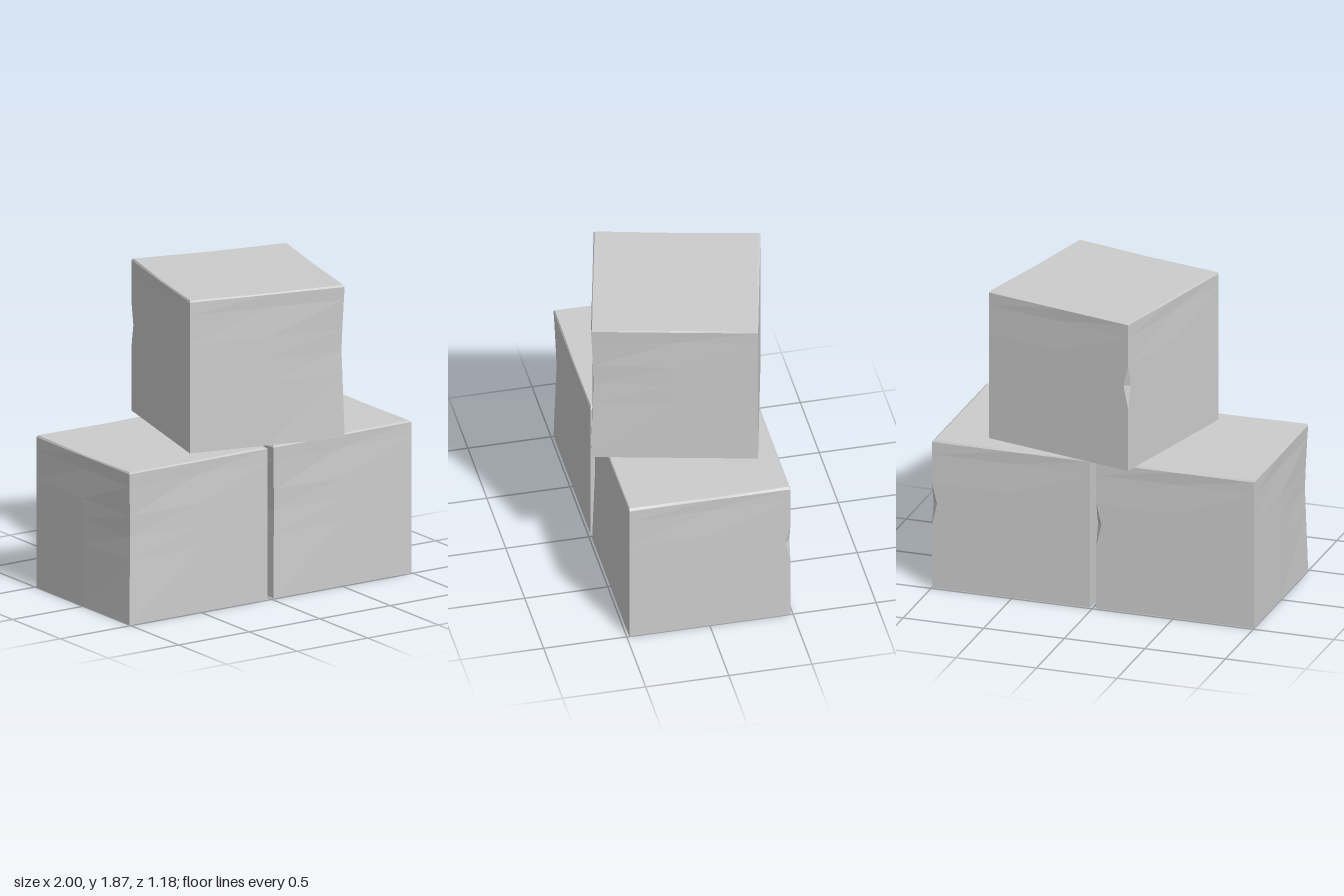
import * as THREE from 'three';

const W = 0.49, D = 0.485, H = 0.93; // half width, half depth, height of a block

// Horizontal outline of a block at one level, counter-clockwise from above.
// chip: size of the notch on the back right edge; worn: inward wear of the
// front left edge; dent: recess at the middle of each side.
function outline({ y, chip = 0, worn = 0, dent = 0, inset = 0, insetX = 0, dip = 0 }) {
  const r = W - Math.max(inset, insetX), l = -W + inset, f = D - inset, b = -D + inset;
  return [
    [l + worn, y, f - worn],
    [0, y - dip, f - dent],
    [r, y, f],
    [r - dent, y - dip, 0],
    [r, y, b + chip],
    [r - chip, y, b],
    [0, y - dip, b + dent],
    [l, y, b],
    [l + dent, y - dip, 0],
  ];
}

// Skins the stacked outlines and closes both ends with fans.
function blockGeometry() {
  const rings = [
    { y: 0 },
    { y: 0.39, worn: 0.011 },
    { y: 0.53, worn: 0.015, chip: 0.032 },
    { y: 0.66, worn: 0.011 },
    { y: 0.84, worn: 0.004, dent: 0.005 },
    { y: H - 0.012 },
    { y: H, inset: 0.006, insetX: 0.015, dip: 0.005 },
  ].map(outline);
  const n = rings[0].length, pos = [];
  const tri = (a, b, c) => pos.push(...a, ...b, ...c);
  for (let k = 0; k < rings.length - 1; k++) {
    for (let i = 0; i < n; i++) {
      const j = (i + 1) % n, lo = rings[k], hi = rings[k + 1];
      tri(lo[i], lo[j], hi[j]);
      tri(lo[i], hi[j], hi[i]);
    }
  }
  const top = rings[rings.length - 1];
  for (let i = 0; i < n; i++) {
    const j = (i + 1) % n;
    tri([0, H - 0.006, 0], top[i], top[j]);
    tri([0, 0, 0], rings[0][j], rings[0][i]);
  }
  const g = new THREE.BufferGeometry();
  g.setAttribute('position', new THREE.Float32BufferAttribute(pos, 3));
  g.computeVertexNormals(); // unshared corners give flat facets
  return g;
}

export function createModel() {
  const group = new THREE.Group();
  group.name = 'stackedStoneBlocks';
  const stone = new THREE.MeshStandardMaterial({ color: 0xcccccc });
  stone.name = 'paleStone';
  const geometry = blockGeometry();

  // Two blocks side by side, and a turned one on top
  const blocks = [
    ['lowerRightBlock', -0.51, 0, 0],
    ['lowerLeftBlock', 0.51, 0, 0],
    ['upperBlock', 0.1, 0.936, Math.PI / 2 - 0.24],
  ];
  for (const [name, x, y, turn] of blocks) {
    const block = new THREE.Mesh(geometry, stone);
    block.name = name;
    block.position.set(x, y, 0);
    block.rotation.y = turn;
    group.add(block);
  }
  return group;
}
